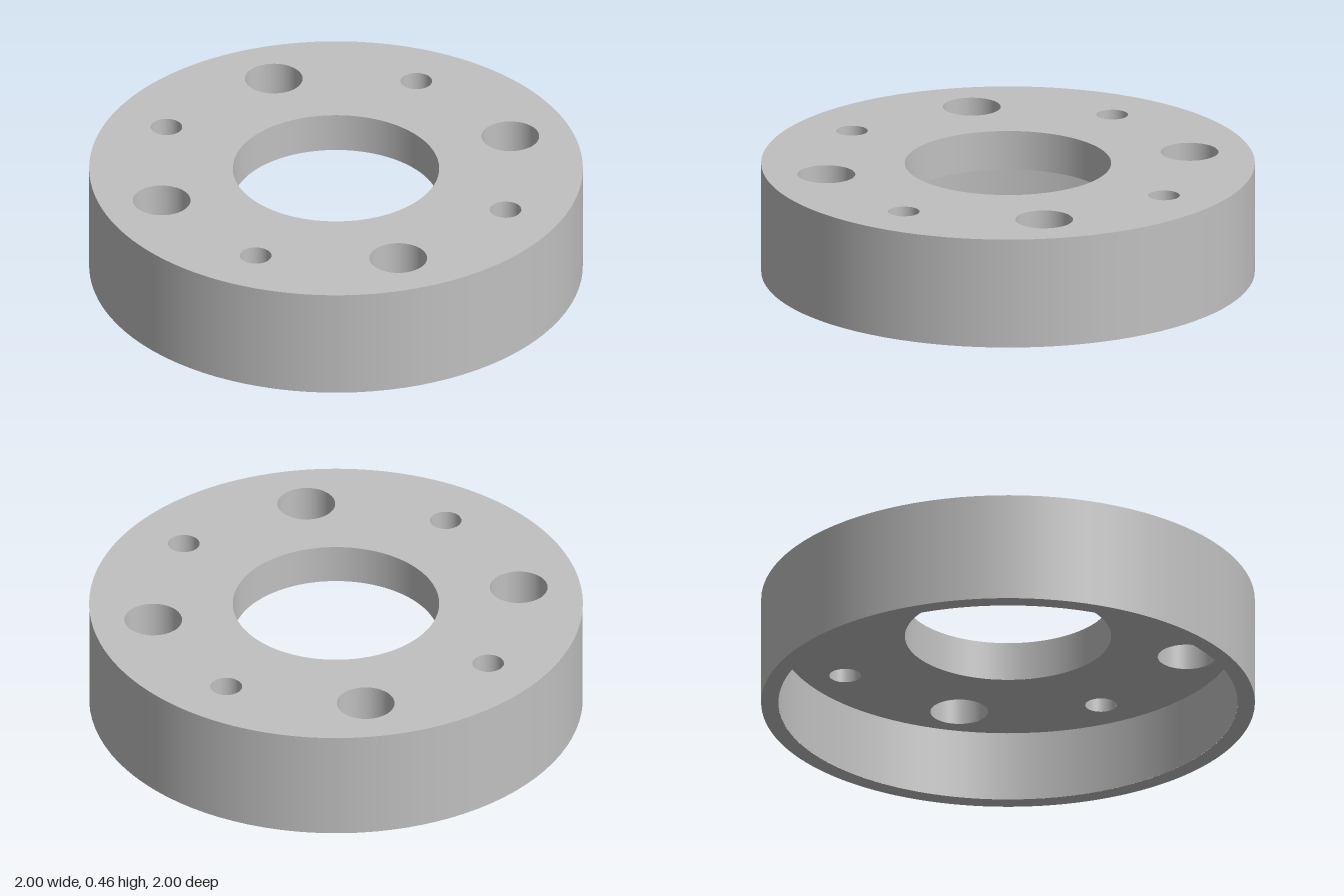
import * as THREE from 'three';

const SEGMENTS = 96;
const HEIGHT = 0.46, CEILING = 0.296;
const OUTER = 1, RIM_INNER = 0.93, BORE = 0.418;

export function createModel() {
  const model = new THREE.Group();
  model.name = 'flangedSpacer';
  const metal = new THREE.MeshStandardMaterial({ color: 0xc0c0c0 });
  metal.name = 'grey metal';

  // Four large and four small bolt holes, alternating around the bore
  const holes = [{ name: 'bore', x: 0, z: 0, r: BORE }];
  for (let i = 0; i < 8; i++) {
    const a = (i * Math.PI) / 4;
    const large = i % 2 === 1;
    const d = large ? 0.75 : 0.76;
    holes.push({
      name: large ? 'largeBoltHole' : 'smallBoltHole',
      x: d * Math.cos(a), z: d * Math.sin(a), r: large ? 0.117 : 0.064,
    });
  }

  const add = (name, geometry, x, y, z) => {
    const mesh = new THREE.Mesh(geometry, metal);
    mesh.name = name;
    mesh.position.set(x, y, z);
    model.add(mesh);
  };

  // Flat disc with round openings, facing up or down
  const face = (name, radius, openings, y, up) => {
    const shape = new THREE.Shape().absarc(0, 0, radius, 0, Math.PI * 2);
    for (const h of openings) {
      shape.holes.push(new THREE.Path().absarc(h.x, h.z, h.r, 0, Math.PI * 2, true));
    }
    const geometry = new THREE.ShapeGeometry(shape, SEGMENTS);
    geometry.rotateX(up ? -Math.PI / 2 : Math.PI / 2);
    add(name, geometry, 0, y, 0);
  };

  // Smooth round wall, facing outward or into its own hollow
  const wall = (name, x, z, r, y0, y1, outward) => {
    const profile = [new THREE.Vector2(r, y0), new THREE.Vector2(r, y1)];
    if (!outward) profile.reverse();
    add(name, new THREE.LatheGeometry(profile, SEGMENTS), x, 0, z);
  };

  // Drilled plate
  face('plateTop', OUTER, holes, HEIGHT, true);
  face('plateUnderside', RIM_INNER, holes, CEILING, false);
  for (const h of holes) wall(h.name + 'Wall', h.x, h.z, h.r, CEILING, HEIGHT, false);

  // Rim skirt around the recess below
  wall('rimOuterWall', 0, 0, OUTER, 0, HEIGHT, true);
  wall('rimInnerWall', 0, 0, RIM_INNER, 0, CEILING, false);
  face('rimBottom', OUTER, [{ x: 0, z: 0, r: RIM_INNER }], 0, false);

  return model;
}
